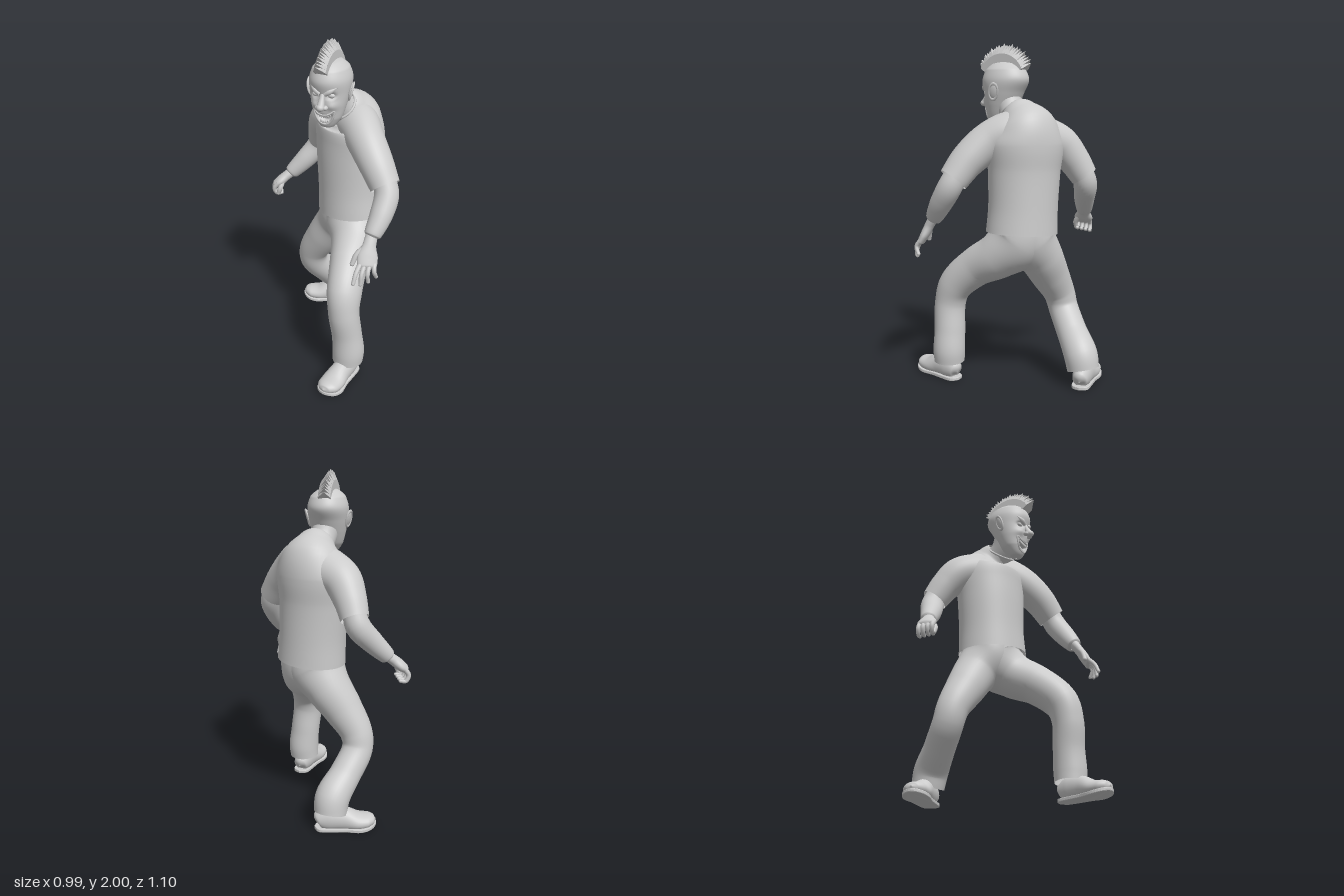
import * as THREE from 'three';

const mat = new THREE.MeshStandardMaterial({ color: 0xcccccc, side: THREE.DoubleSide });
const flatMat = new THREE.MeshStandardMaterial({ color: 0xcccccc, side: THREE.DoubleSide, flatShading: true });
const V = (x, y, z) => new THREE.Vector3(x, y, z);
const YAW = V(0.85, 0, 0.53); // the body's own sideways direction

function add(parent, name, geo, material = mat) {
  const m = new THREE.Mesh(geo, material);
  m.name = name;
  parent.add(m);
  return m;
}

// Smooth skin through rows of [x, y, z, radiusAlongRef, otherRadius]
function loft(rows, { ref = YAW, level = false, seg = 28, per = 6 } = {}) {
  const path = new THREE.CatmullRomCurve3(rows.map(r => V(r[0], r[1], r[2])));
  const radii = new THREE.CatmullRomCurve3(rows.map(r => V(r[3], r[4] ?? r[3], 0)));
  const n = (rows.length - 1) * per, pos = [], idx = [];
  for (let i = 0; i <= n; i++) {
    const p = path.getPoint(i / n), r = radii.getPoint(i / n);
    const t = level ? V(0, 1, 0) : path.getTangent(i / n);
    const u = ref.clone().addScaledVector(t, -ref.dot(t)).normalize();
    const v = t.clone().cross(u);
    for (let j = 0; j < seg; j++) {
      const a = (j / seg) * Math.PI * 2;
      const q = p.clone().addScaledVector(u, Math.cos(a) * Math.max(r.x, 0.001))
        .addScaledVector(v, Math.sin(a) * Math.max(r.y, 0.001));
      pos.push(q.x, q.y, q.z);
      if (i < n) {
        const k = (j + 1) % seg, A = i * seg + j, B = i * seg + k;
        idx.push(A, B, B + seg, A, B + seg, A + seg);
      }
    }
  }
  const g = new THREE.BufferGeometry();
  g.setAttribute('position', new THREE.Float32BufferAttribute(pos, 3));
  g.setIndex(idx);
  g.computeVertexNormals();
  return g;
}

function ball(parent, name, p, sx, sy, sz) {
  const m = add(parent, name, new THREE.SphereGeometry(1, 20, 14));
  m.position.copy(p);
  m.scale.set(sx, sy ?? sx, sz ?? sx);
  return m;
}

// Finger: tapering tube with a round tip
function finger(parent, name, pts, r) {
  add(parent, name, loft(pts.map((p, i) => [...p, r * (1 - 0.12 * i)]), { seg: 10, per: 4 }));
  ball(parent, name + 'Tip', V(...pts.at(-1)), r * (1 - 0.12 * (pts.length - 1)));
}

// Shoe pointing along its own +z, toe curling up a little
function shoe(parent, name, x, z, yaw) {
  const g = new THREE.Group();
  g.name = name;
  const upper = loft([[0, 0.05, -0.158, 0.003], [0, 0.06, -0.143, 0.042, 0.05], [0, 0.07, -0.08, 0.056, 0.075],
    [0, 0.065, 0, 0.06, 0.07], [0, 0.047, 0.08, 0.072, 0.05], [0, 0.04, 0.14, 0.066, 0.04],
    [0, 0.034, 0.175, 0.038, 0.025], [0, 0.034, 0.187, 0.003]], { ref: V(1, 0, 0) });
  const outline = new THREE.Shape(new THREE.SplineCurve([[0, -0.162], [0.044, -0.138], [0.053, -0.06], [0.058, 0.02],
    [0.073, 0.1], [0.055, 0.16], [0, 0.188], [-0.055, 0.16], [-0.073, 0.1], [-0.058, 0.02], [-0.053, -0.06],
    [-0.044, -0.138], [0, -0.162]].map(q => new THREE.Vector2(...q))).getPoints(48));
  const sole = new THREE.ExtrudeGeometry(outline, { depth: 0.012, bevelSize: 0.004, bevelThickness: 0.004, bevelSegments: 2 });
  sole.rotateX(Math.PI / 2).translate(0, 0.018, 0);
  for (const geo of [upper, sole]) {
    const p = geo.attributes.position;
    for (let i = 0; i < p.count; i++) {
      const y = geo === upper ? Math.max(p.getY(i), 0.015) : p.getY(i);
      p.setY(i, y + 1.2 * Math.max(0, p.getZ(i) - 0.06) ** 2);
    }
    geo.computeVertexNormals();
  }
  add(g, 'shoeUpper', upper);
  add(g, 'sole', sole);
  g.position.set(x, 0, z);
  g.rotation.y = yaw;
  parent.add(g);
}

const HX = 0.042; // head centre line
const headRows = [[HX, 1.513, 0.075, 0.004], [HX, 1.525, 0.075, 0.04, 0.034], [HX, 1.58, 0.06, 0.08, 0.074],
  [HX, 1.65, 0.047, 0.1, 0.1], [HX, 1.72, 0.033, 0.113, 0.119], [HX, 1.79, 0.023, 0.118, 0.144],
  [HX, 1.85, 0.023, 0.1, 0.124], [HX, 1.885, 0.025, 0.06, 0.078], [HX, 1.9, 0.025, 0.004]];

// Point on the face at a sideways offset and height
function face(dx, y, out = 0) {
  const i = headRows.findIndex((r, k) => k > 0 && r[1] >= y);
  const a = headRows[i - 1], b = headRows[i], t = (y - a[1]) / (b[1] - a[1]);
  const mix = k => THREE.MathUtils.lerp(a[k] ?? a[3], b[k] ?? b[3], t);
  return V(HX + dx, y, mix(2) + mix(4) * Math.sqrt(Math.max(0, 1 - (dx / mix(3)) ** 2)) + out);
}

function buildHead() {
  const head = new THREE.Group();
  head.name = 'head';
  const skull = loft(headRows, { ref: V(1, 0, 0), level: true, seg: 64, per: 9 });
  // Hollow the open mouth and the eye sockets, swell the cheeks
  const p = skull.attributes.position;
  for (let i = 0; i < p.count; i++) {
    const dx = p.getX(i) - HX, y = p.getY(i), z = p.getZ(i);
    if (z < 0.06) continue;
    const mouth = 1 - (dx / 0.05) ** 2 - ((y - 1.58 - 8 * dx * dx) / 0.026) ** 2;
    const eye = 1 - ((Math.abs(dx) - 0.045) / 0.032) ** 2 - ((y - 1.72) / 0.026) ** 2;
    const cheek = Math.exp(-(((Math.abs(dx) - 0.055) / 0.026) ** 2) - ((y - 1.662) / 0.024) ** 2);
    p.setZ(i, z - 0.04 * Math.min(1, Math.max(0, mouth * 2)) - 0.014 * Math.max(0, eye) + 0.014 * cheek);
  }
  skull.computeVertexNormals();
  add(head, 'skull', skull);
  // Nose
  add(head, 'noseBridge', loft([[HX, 1.735, 0.14, 0.012], [HX, 1.7, 0.155, 0.016], [HX, 1.665, 0.172, 0.022]], { ref: V(1, 0, 0) }));
  ball(head, 'noseTip', V(HX, 1.66, 0.178), 0.023, 0.02, 0.024);
  for (const s of [-1, 1]) {
    ball(head, 'nostril', V(HX + s * 0.022, 1.656, 0.16), 0.015, 0.014, 0.018);
    ball(head, 'eye', face(s * 0.045, 1.72, -0.014), 0.021, 0.014, 0.014);
    const brow = [[0.014, 1.728], [0.04, 1.745], [0.075, 1.768]].map(([x, y]) => face(s * x, y, -0.004));
    add(head, 'brow', loft(brow.map((q, i) => [q.x, q.y, q.z, [0.012, 0.015, 0.006][i]]), { ref: V(0, 1, 0), seg: 12 }));
    // Ear: dished shell with a rim
    const ear = new THREE.Group();
    ear.name = 'ear';
    ball(ear, 'earShell', V(0, 0, 0), 0.013, 0.048, 0.026);
    const rim = add(ear, 'earRim', new THREE.TorusGeometry(0.027, 0.006, 8, 24));
    rim.rotation.y = Math.PI / 2;
    rim.scale.set(0.95, 1.7, 1);
    rim.position.x = s * 0.005;
    ear.position.set(HX + s * 0.117, 1.725, 0.027);
    ear.rotation.set(-0.15, s * 0.4, -s * 0.22);
    head.add(ear);
  }
  // Wide upturned grin and teeth
  const lips = [[-0.06, 1.632], [-0.05, 1.588], [-0.027, 1.555], [0, 1.547], [0.027, 1.555], [0.05, 1.588],
    [0.06, 1.632], [0.032, 1.612], [0, 1.605], [-0.032, 1.612]].map(q => face(...q));
  add(head, 'lips', new THREE.TubeGeometry(new THREE.CatmullRomCurve3(lips, true), 64, 0.006, 8, true));
  for (let i = -3; i <= 3; i++) {
    ball(head, 'upperTooth', face(i * 0.012, 1.597 + 0.001 * i * i, -0.007), 0.006, 0.011, 0.005);
    if (Math.abs(i) < 3) ball(head, 'lowerTooth', face(i * 0.011, 1.559 + 0.0015 * i * i, -0.006), 0.0055, 0.009, 0.005);
  }
  // Mohawk: a fan of pointed blades, thick at the root
  const mohawk = new THREE.Group();
  mohawk.name = 'mohawk';
  const N = 24;
  for (let i = 0; i < N; i++) {
    const tip = 0.214 + 0.006 * Math.sin(i * 2.4), w = 0.036;
    const s = new THREE.Shape([[-w, 0.09], [w, 0.09], [w, 0.16], [-0.008, tip], [-w, 0.16]].map(q => new THREE.Vector2(...q)));
    const g = new THREE.ExtrudeGeometry(s, { depth: 0.028, bevelEnabled: false });
    const q = g.attributes.position;
    for (let k = 0; k < q.count; k++) q.setZ(k, (q.getZ(k) - 0.014) * (1.04 - ((q.getY(k) - 0.09) / (tip - 0.09)) ** 3));
    const blade = add(mohawk, 'hairBlade', g, flatMat);
    blade.position.set(0.037, 1.782, 0.035);
    blade.rotation.x = THREE.MathUtils.degToRad(58 - (118 * i) / (N - 1));
  }
  head.add(mohawk);
  return head;
}

export function createModel() {
  const model = new THREE.Group();
  model.name = 'punkFigure';
  model.add(buildHead());
  add(model, 'neck', loft([[0.085, 1.55, -0.1, 0.085], [0.06, 1.62, -0.03, 0.076], [0.045, 1.69, 0.01, 0.08]]));

  // Shirt: body, then one skin running cuff to cuff across the shoulders
  add(model, 'shirtBody', loft([[0.108, 0.92, -0.137, 0.212, 0.186], [0.1, 1.07, -0.14, 0.205, 0.182],
    [0.092, 1.28, -0.142, 0.214, 0.182], [0.092, 1.42, -0.148, 0.228, 0.186], [0.09, 1.52, -0.14, 0.185, 0.175],
    [0.082, 1.578, -0.1, 0.122, 0.122], [0.072, 1.605, -0.06, 0.088, 0.09]], { seg: 48 }));
  add(model, 'shouldersAndSleeves', loft([[-0.192, 1.235, -0.375, 0.08], [-0.153, 1.335, -0.322, 0.094],
    [-0.098, 1.42, -0.262, 0.112], [-0.005, 1.46, -0.2, 0.128], [0.09, 1.488, -0.16, 0.128, 0.135],
    [0.165, 1.485, -0.09, 0.122, 0.13], [0.243, 1.438, 0.0, 0.108, 0.115], [0.333, 1.345, 0.075, 0.1],
    [0.41, 1.235, 0.124, 0.086]], { ref: V(-0.53, 0, 0.85), seg: 36 }));
  const collar = add(model, 'collar', new THREE.TorusGeometry(0.088, 0.007, 10, 40));
  collar.position.set(0.072, 1.603, -0.06);
  collar.lookAt(0.05, 1.655, -0.012);

  // Forearms
  add(model, 'leftForearm', loft([[0.398, 1.27, 0.108, 0.066], [0.425, 1.19, 0.14, 0.07], [0.42, 1.1, 0.205, 0.065],
    [0.398, 1.005, 0.28, 0.048], [0.396, 0.995, 0.288, 0.03]]));
  add(model, 'rightForearm', loft([[-0.182, 1.27, -0.365, 0.064], [-0.212, 1.19, -0.372, 0.07], [-0.28, 1.1, -0.33, 0.063],
    [-0.36, 1.01, -0.285, 0.046], [-0.368, 1.0, -0.28, 0.03]]));

  // Left hand: open, fingers hanging and spread
  const across = V(0.85, 0, -0.5).normalize();
  const leftHand = new THREE.Group();
  leftHand.name = 'leftHand';
  add(leftHand, 'palm', loft([[0.396, 1.01, 0.28, 0.034, 0.03], [0.395, 0.96, 0.315, 0.038, 0.028],
    [0.398, 0.9, 0.35, 0.058, 0.026], [0.405, 0.86, 0.372, 0.055, 0.022], [0.407, 0.845, 0.38, 0.02, 0.008]], { ref: across }));
  for (let i = 0; i < 4; i++) {
    const o = (i - 1.5) * 0.027, len = [0.93, 1.05, 1, 0.8][i];
    const at = (d, y, z) => [0.404 + across.x * o * d, 0.87 - y * len, 0.37 + across.z * o * d + z * len];
    finger(leftHand, 'finger', [at(1, 0, 0), at(1.25, 0.045, 0.038), at(1.4, 0.098, 0.06 - 0.014 * i)], 0.0145);
  }
  finger(leftHand, 'thumb', [[0.375, 0.95, 0.33], [0.338, 0.91, 0.365], [0.322, 0.86, 0.385]], 0.018);
  model.add(leftHand);

  // Right hand: half-closed fist
  const rightHand = new THREE.Group();
  rightHand.name = 'rightHand';
  const fist = V(0.45, 0.2, 0.85).normalize();
  add(rightHand, 'palm', loft([[-0.355, 1.015, -0.288, 0.034, 0.03], [-0.39, 0.985, -0.265, 0.04, 0.03],
    [-0.425, 0.952, -0.245, 0.056, 0.03], [-0.45, 0.93, -0.23, 0.05, 0.024], [-0.458, 0.92, -0.225, 0.02, 0.01]], { ref: fist }));
  for (let i = 0; i < 4; i++) {
    const o = (i - 1.5) * 0.026;
    const at = (x, y, z) => [x + fist.x * o, y + fist.y * o, z + fist.z * o];
    finger(rightHand, 'finger', [at(-0.436, 0.945, -0.236), at(-0.461, 0.908, -0.228), at(-0.446, 0.872, -0.236),
      at(-0.418, 0.876, -0.248)], 0.016);
  }
  finger(rightHand, 'thumb', [[-0.4, 0.965, -0.232], [-0.405, 0.92, -0.2], [-0.418, 0.885, -0.198]], 0.018);
  model.add(rightHand);

  // Trousers: each leg flows out of the same waist ring
  const waist = [0.1, 0.98, -0.137, 0.192, 0.172];
  add(model, 'leftTrouserLeg', loft([waist, [0.122, 0.875, -0.118, 0.178, 0.172], [0.172, 0.785, -0.025, 0.142, 0.138],
    [0.203, 0.7, 0.125, 0.113, 0.118], [0.23, 0.575, 0.262, 0.1, 0.108], [0.24, 0.46, 0.296, 0.093, 0.093],
    [0.258, 0.3, 0.287, 0.093, 0.09], [0.269, 0.18, 0.285, 0.096], [0.266, 0.11, 0.287, 0.092]], { per: 8, seg: 36 }));
  add(model, 'rightTrouserLeg', loft([waist, [0.07, 0.875, -0.155, 0.17, 0.172], [0.0, 0.775, -0.19, 0.135, 0.138],
    [-0.09, 0.65, -0.202, 0.117], [-0.178, 0.51, -0.222, 0.095], [-0.188, 0.42, -0.245, 0.09], [-0.137, 0.3, -0.335, 0.091],
    [-0.08, 0.19, -0.43, 0.1], [-0.073, 0.105, -0.453, 0.095]], { per: 8, seg: 36 }));
  ball(model, 'crotch', V(0.085, 0.82, -0.13), 0.11, 0.105, 0.13);

  // Shoes
  shoe(model, 'leftShoe', 0.252, 0.365, -0.2);
  shoe(model, 'rightShoe', -0.142, -0.43, -1.29);
  return model;
}
